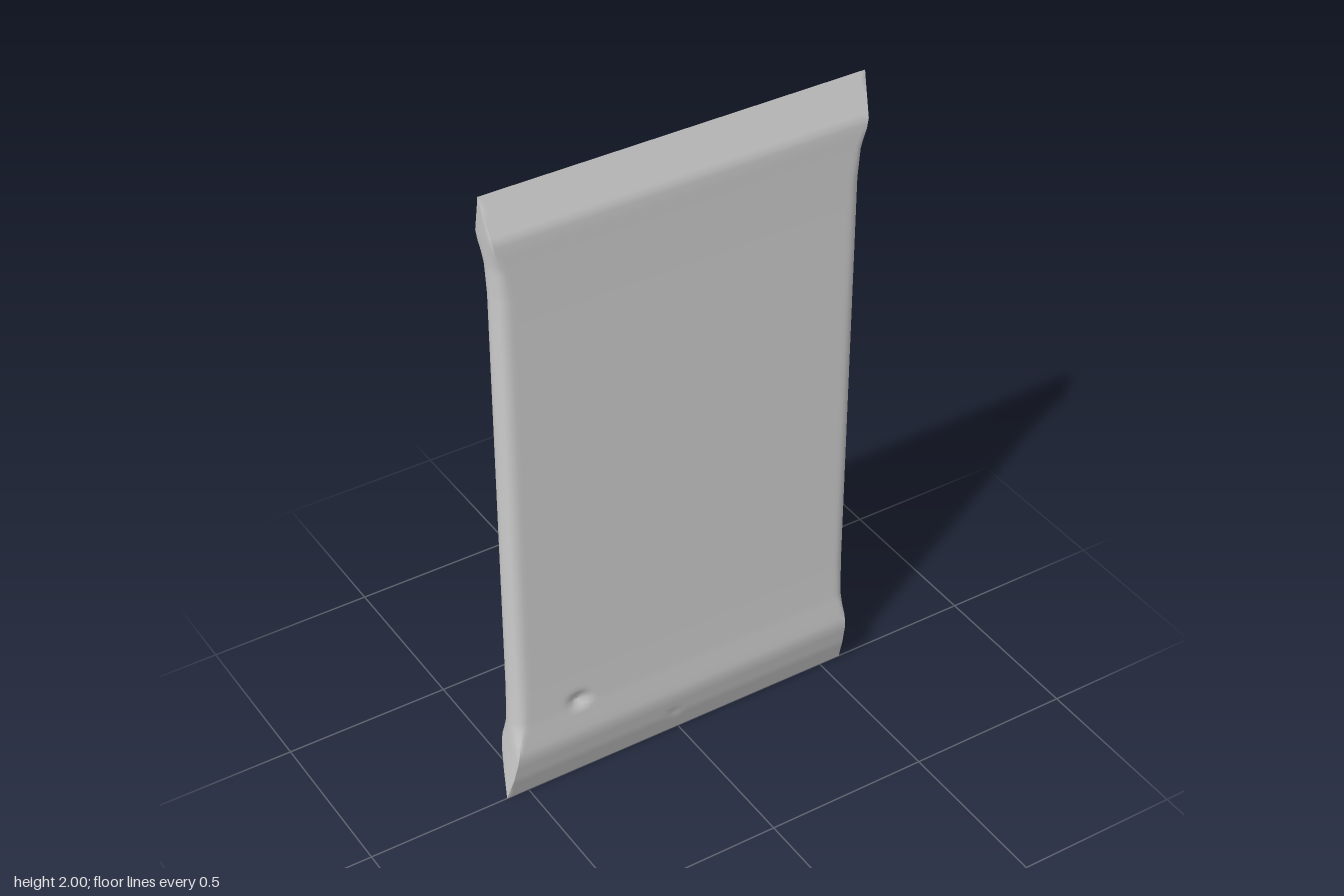
import * as THREE from 'three';
import { toCreasedNormals } from 'three/addons/utils/BufferGeometryUtils.js';

// Cross-sections up the slab: y, half width, half thickness, rounding of the side edges
const sections = [
  [0, 0.57, 0, 0.001],
  [0.08, 0.564, 0.028, 0.004],
  [0.15, 0.559, 0.045, 0.005],
  [0.18, 0.557, 0.049, 0.006],
  [0.21, 0.556, 0.048, 0.01],
  [0.28, 0.553, 0.044, 0.034],
  [0.4, 0.552, 0.042, 0.04],
  [1.7, 0.552, 0.041, 0.04],
  [1.79, 0.555, 0.042, 0.028],
  [1.85, 0.561, 0.043, 0.008],
  [1.88, 0.564, 0.042, 0.005],
  [2, 0.572, 0, 0.001],
];

// Worn chips: x, y, face (+1 front, -1 back), radius x, radius y, depth
const chips = [
  [-0.35, 0.3, 1, 0.05, 0.035, 0.016],
  [-0.03, 0.09, 1, 0.03, 0.02, 0.005],
  [0.19, 0.17, -1, 0.06, 0.02, 0.012],
];

function chipDepth(x, y, z) {
  let depth = 0;
  for (const [cx, cy, face, rx, ry, d] of chips) {
    if (z * face <= 0) continue;
    const r = Math.hypot((x - cx) / rx, (y - cy) / ry);
    if (r < 1) depth += d * (1 - r * r) ** 2;
  }
  return depth;
}

// One closed outline: straight faces joined by elliptical side edges
function outline(w, t, inset, y) {
  const CORNER = 6, FACE = 80, ring = [];
  const quarter = [];
  for (let i = 0; i <= CORNER; i++) {
    const a = (i / CORNER) * Math.PI / 2;
    quarter.push([w - inset + inset * Math.cos(a), t * Math.sin(a)]);
  }
  const half = [...quarter];
  for (let i = 1; i < FACE; i++) half.push([(w - inset) * (1 - 2 * i / FACE), t]);
  for (let i = CORNER; i > 0; i--) half.push([-quarter[i][0], quarter[i][1]]);
  for (const s of [1, -1]) {
    for (const [x, z] of half) {
      const zz = z * s;
      ring.push([x * s, y, zz - Math.sign(zz) * Math.min(chipDepth(x * s, y, zz), z)]);
    }
  }
  return ring;
}

function slabGeometry() {
  const rings = [];
  for (let k = 0; k < sections.length - 1; k++) {
    const a = sections[k], b = sections[k + 1];
    const steps = Math.max(1, Math.round((b[0] - a[0]) / 0.015));
    const n = b[0] - a[0] > 1 ? 6 : steps;
    for (let i = 0; i < n; i++) {
      const [y, w, t, r] = a.map((v, j) => THREE.MathUtils.lerp(v, b[j], i / n));
      rings.push(outline(w, t, r, y));
    }
  }
  const [y, w, t, r] = sections[sections.length - 1];
  rings.push(outline(w, t, r, y));

  const n = rings[0].length, index = [];
  for (let j = 0; j < rings.length - 1; j++) {
    for (let i = 0; i < n; i++) {
      const a = j * n + i, b = j * n + (i + 1) % n;
      index.push(a, a + n, b + n, a, b + n, b);
    }
  }
  const geo = new THREE.BufferGeometry();
  geo.setAttribute('position', new THREE.Float32BufferAttribute(rings.flat(2), 3));
  geo.setIndex(index);
  return toCreasedNormals(geo, 0.6);
}

export function createModel() {
  const group = new THREE.Group();
  group.name = 'flaredSlab';
  const slab = new THREE.Mesh(slabGeometry(), new THREE.MeshStandardMaterial({ color: 0xcccccc }));
  slab.name = 'slab';
  group.add(slab);
  return group;
}
